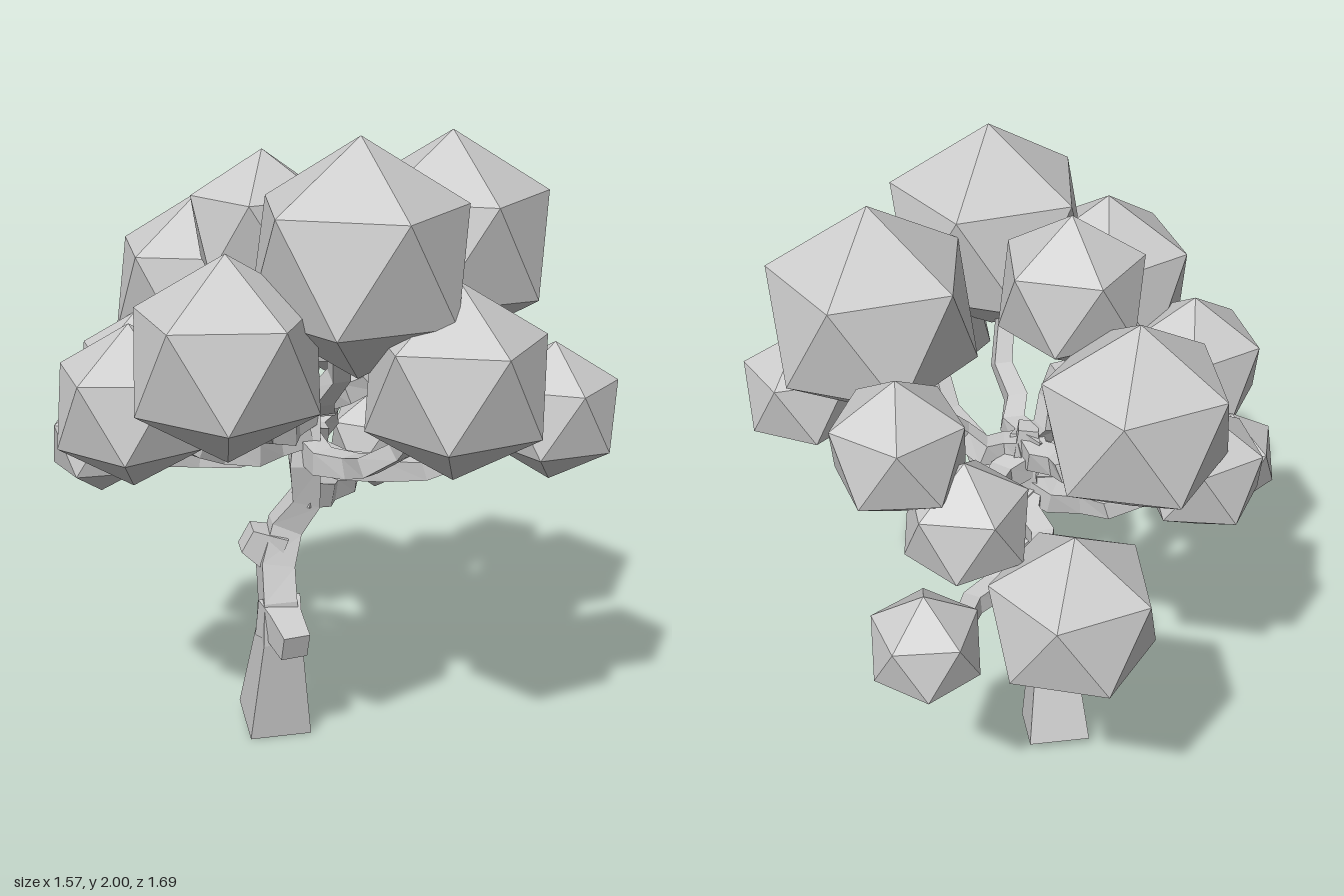
import * as THREE from 'three';

const bark = new THREE.MeshStandardMaterial({ color: 0xcccccc, flatShading: true });
const leaf = new THREE.MeshStandardMaterial({ color: 0xcccccc, flatShading: true });

// Square-section limb swept along points, closed at both ends
function limb(name, points, halfWidths) {
  const pos = [], index = [];
  const t = new THREE.Vector3(), last = new THREE.Vector3(), u = new THREE.Vector3();
  const turn = new THREE.Quaternion();
  const end = points.length - 1;
  points.forEach((c, k) => {
    t.subVectors(points[Math.min(k + 1, end)], points[Math.max(k - 1, 0)]).normalize();
    if (k === 0) {
      const ref = Math.abs(t.y) > 0.8 ? new THREE.Vector3(1, 0, 0.15) : new THREE.Vector3(0, 1, 0);
      u.copy(ref).addScaledVector(t, -ref.dot(t)).normalize();
    } else {
      u.applyQuaternion(turn.setFromUnitVectors(last, t));
    }
    last.copy(t);
    const v = new THREE.Vector3().crossVectors(t, u);
    for (let i = 0; i < 4; i++) {
      const a = Math.PI / 4 + i * Math.PI / 2, r = halfWidths[k] * Math.SQRT2;
      const q = c.clone().addScaledVector(u, r * Math.cos(a)).addScaledVector(v, r * Math.sin(a));
      pos.push(q.x, q.y, q.z);
      if (k > 0) {
        const j = (i + 1) % 4, lo = 4 * (k - 1), hi = 4 * k;
        index.push(lo + i, lo + j, hi + j, lo + i, hi + j, hi + i);
      }
    }
  });
  const e = 4 * end;
  index.push(0, 2, 1, 0, 3, 2, e, e + 1, e + 2, e, e + 2, e + 3);
  const indexed = new THREE.BufferGeometry();
  indexed.setAttribute('position', new THREE.Float32BufferAttribute(pos, 3));
  indexed.setIndex(index);
  const g = indexed.toNonIndexed();
  g.computeVertexNormals();
  const mesh = new THREE.Mesh(g, bark);
  mesh.name = name;
  return mesh;
}

// Branch from the trunk into a leaf cluster: runs out flat with a slight sag
// and sideways kinks, then rises while tapering
function branch(name, forkHeight, target, radius) {
  const start = new THREE.Vector3(0.035, forkHeight, -0.02);
  const across = new THREE.Vector3(start.z - target.z, 0, target.x - start.x).normalize();
  const reach = 1 - 0.5 * radius / start.distanceTo(target);
  const points = [], widths = [];
  const steps = 5;
  for (let k = 0; k <= steps; k++) {
    const f = reach * k / steps;
    const p = start.clone().lerp(target, f);
    p.y = THREE.MathUtils.lerp(start.y, target.y, f * f) - 0.06 * Math.sin(Math.PI * f);
    p.addScaledVector(across, k % 2 ? 0.018 : -0.01);
    points.push(p);
    widths.push(THREE.MathUtils.lerp(0.04, 0.02, f));
  }
  return limb(name, points, widths);
}

// Icosahedron standing on a corner, with one upper-ring corner pointing to +x
function cornerUpIcosahedron() {
  const f = (1 + Math.sqrt(5)) / 2;
  const up = new THREE.Vector3(0, 1, f).normalize();
  const side = new THREE.Vector3(f, 0, 1).normalize();
  side.addScaledVector(up, -side.dot(up)).normalize();
  const basis = new THREE.Matrix4().makeBasis(side, up, new THREE.Vector3().crossVectors(side, up));
  return new THREE.IcosahedronGeometry(1, 0).applyMatrix4(basis.transpose());
}

export function createModel() {
  const tree = new THREE.Group();
  tree.name = 'tree';
  const at = (x, y, z) => new THREE.Vector3(x, y, z);

  // Crooked trunk with a thin leader at the top
  tree.add(limb('trunk', [
    at(-0.05, 0.025, -0.07), at(-0.06, 0.36, 0), at(-0.065, 0.48, 0), at(-0.055, 0.58, -0.045),
    at(-0.01, 0.7, -0.075), at(0.045, 0.8, -0.035), at(0.03, 0.93, -0.01), at(0.045, 1.08, -0.025),
    at(0.03, 1.24, -0.03),
  ], [0.1, 0.062, 0.053, 0.053, 0.05, 0.044, 0.047, 0.038, 0.03]));

  // Two sawn-off stubs, flared where they leave the trunk
  tree.add(limb('frontStub',
    [at(-0.065, 0.43, 0), at(-0.065, 0.415, 0.06), at(-0.065, 0.385, 0.16)], [0.07, 0.052, 0.043]));
  tree.add(limb('sideStub',
    [at(-0.03, 0.62, -0.065), at(-0.08, 0.64, -0.08), at(-0.138, 0.672, -0.09)], [0.06, 0.055, 0.04]));

  // Foliage, each cluster carried by its own branch
  const ball = cornerUpIcosahedron();
  let count = 0;
  function cluster(x, y, z, radius, yawDegrees, forkHeight) {
    count++;
    const m = new THREE.Mesh(ball, leaf);
    m.name = 'leafCluster' + count;
    m.position.set(x, y, z);
    m.scale.setScalar(radius);
    m.rotation.y = THREE.MathUtils.degToRad(yawDegrees);
    tree.add(m, branch('branch' + count, forkHeight, m.position, radius));
  }

  // Crown
  cluster(0.01, 1.665, 0.445, 0.335, -88, 1.16);
  cluster(0.45, 1.62, 0.11, 0.33, -17, 1.16);
  cluster(-0.1, 1.67, -0.02, 0.235, 24, 1.2);
  cluster(-0.185, 1.43, -0.36, 0.3, -10, 1.18);
  cluster(0.49, 1.46, -0.35, 0.21, 5, 1.12);
  // Middle ring
  cluster(-0.375, 1.425, 0.45, 0.29, 0, 1.1);
  cluster(0.24, 1.335, 0.59, 0.285, -84, 0.98);
  cluster(-0.565, 1.235, 0.165, 0.24, -3, 1.03);
  cluster(-0.415, 1.18, -0.31, 0.2, -4, 1.03);
  cluster(0.33, 1.235, -0.43, 0.195, 30, 1);
  cluster(0.615, 1.175, 0.475, 0.21, -20, 0.96);
  // Low clusters
  cluster(-0.595, 1.05, -0.1, 0.16, 190, 1.02);
  cluster(0.075, 0.99, -0.61, 0.265, -11, 1);
  cluster(0.46, 0.82, -0.43, 0.18, -30, 0.82);
  return tree;
}
